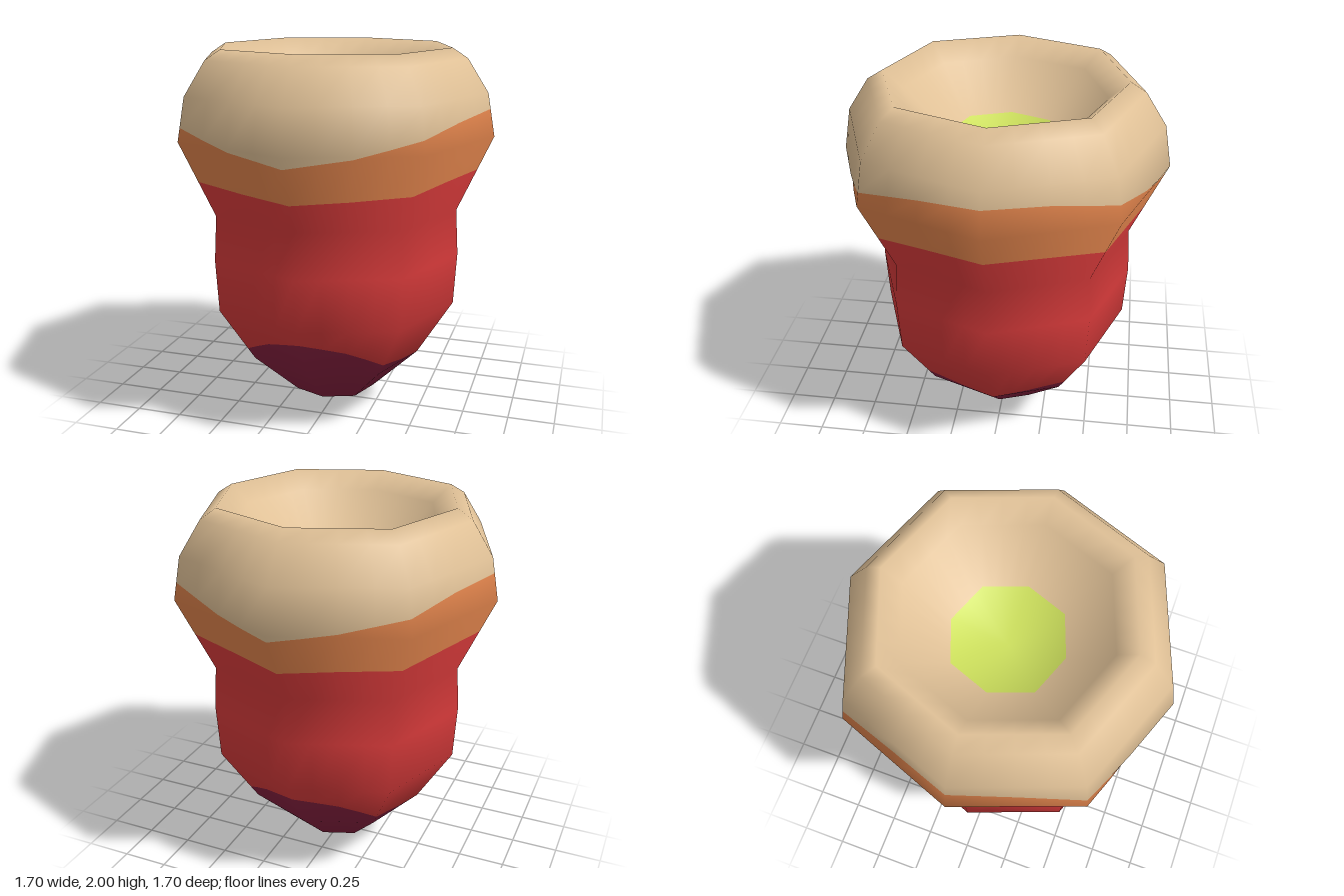
import * as THREE from 'three';

// Half-section [radius, height]: from the bottom tip, up the outside, over the rim, down into the bowl
const PROFILE = [
  [0, 0], [0.23, 0.09], [0.48, 0.33], [0.67, 0.64], [0.685, 0.92], [0.67, 1.16], [0.85, 1.56],
  [0.81, 1.78], [0.70, 1.95], [0.62, 2.0], [0.52, 1.91], [0.295, 1.68], [0, 1.6],
];
const RIM = 9, BOWL = 11, END = PROFILE.length - 1;
const SIDES = 8, SUB = 4, COLUMNS = SIDES * SUB;

// Heights of the wavy colour borders, from front to back in steps of 22.5 degrees
const PURPLE_TOP = [0.555, 0.49, 0.395, 0.35, 0.33, 0.35, 0.395, 0.49, 0.55];
const RED_TOP = [1.31, 1.325, 1.35, 1.37, 1.385, 1.375, 1.365, 1.35, 1.33];
const ORANGE_TOP = [1.5, 1.545, 1.63, 1.67, 1.7, 1.685, 1.65, 1.575, 1.525];

// Smooth profile normals, averaged from the neighbouring segments
const NORMALS = PROFILE.map((p, i) => {
  if (i === 0) return new THREE.Vector2(0, -1);
  if (i === END) return new THREE.Vector2(0, 1);
  const n = new THREE.Vector2();
  for (const [a, b] of [[PROFILE[i - 1], p], [p, PROFILE[i + 1]]]) {
    n.add(new THREE.Vector2(b[1] - a[1], a[0] - b[0]).normalize());
  }
  return n.normalize();
});

// Profile parameter at a given height on the outside
function paramAt(y) {
  let k = 0;
  while (k < RIM - 1 && PROFILE[k + 1][1] < y) k++;
  return k + (y - PROFILE[k][1]) / (PROFILE[k + 1][1] - PROFILE[k][1]);
}

// Border function of the column, mirrored left to right
function border(heights) {
  return (column) => {
    const c = column % COLUMNS;
    const f = Math.min(c, COLUMNS - c) * 16 / COLUMNS;
    const i = Math.min(Math.floor(f), heights.length - 2);
    return paramAt(THREE.MathUtils.lerp(heights[i], heights[i + 1], f - i));
  };
}

// Point and normal on the eight-sided body
function surface(column, t) {
  const k = Math.min(Math.floor(t), END - 1), f = t - k;
  const r = THREE.MathUtils.lerp(PROFILE[k][0], PROFILE[k + 1][0], f);
  const y = THREE.MathUtils.lerp(PROFILE[k][1], PROFILE[k + 1][1], f);
  const n = NORMALS[k].clone().lerp(NORMALS[k + 1], f);
  const side = Math.floor(column / SUB), g = column / SUB - side;
  const corner = (s) => {
    const a = s * 2 * Math.PI / SIDES;
    return new THREE.Vector3(Math.sin(a), 0, Math.cos(a));
  };
  const wide = (s) => (s % 2 ? 1.03 : 1);
  const out = corner(side).multiplyScalar(wide(side))
    .lerp(corner(side + 1).multiplyScalar(wide(side + 1)), g);
  const dir = corner(side).lerp(corner(side + 1), g);
  return {
    p: [out.x * r, y, out.z * r],
    n: new THREE.Vector3(dir.x * n.x, n.y, dir.z * n.x).normalize().toArray(),
  };
}

// Skin of the body between two borders
function band(name, from, to, material) {
  const positions = [], normals = [];
  const addTriangle = (...corners) => {
    const [a, b, c] = corners.map((v) => new THREE.Vector3(...v.p));
    if (b.sub(a).cross(c.sub(a)).length() < 1e-9) return;
    for (const v of corners) {
      positions.push(...v.p);
      normals.push(...v.n);
    }
  };
  for (let i = 0; i < COLUMNS; i++) {
    const at = (col, level) =>
      surface(col, THREE.MathUtils.clamp(level, from(col), to(col)));
    for (let k = 0; k < END; k++) {
      const a = at(i, k), b = at(i + 1, k), c = at(i + 1, k + 1), d = at(i, k + 1);
      addTriangle(a, b, c);
      addTriangle(a, c, d);
    }
  }
  const geometry = new THREE.BufferGeometry();
  geometry.setAttribute('position', new THREE.Float32BufferAttribute(positions, 3));
  geometry.setAttribute('normal', new THREE.Float32BufferAttribute(normals, 3));
  const mesh = new THREE.Mesh(geometry, material);
  mesh.name = name;
  return mesh;
}

function paint(name, color) {
  const material = new THREE.MeshStandardMaterial({ color });
  material.name = name;
  return material;
}

export function createModel() {
  const group = new THREE.Group();
  group.name = 'acornCup';
  const purpleTop = border(PURPLE_TOP);
  const redTop = border(RED_TOP);
  const orangeTop = border(ORANGE_TOP);
  group.add(
    band('tip', () => 0, purpleTop, paint('purple', 0x86203f)),
    band('body', purpleTop, redTop, paint('red', 0xd63a3a)),
    band('collar', redTop, orangeTop, paint('orange', 0xde824b)),
    band('rim', orangeTop, () => BOWL, paint('tan', 0xdfc096)),
    band('bowlFloor', () => BOWL, () => END, paint('lime', 0xcde05c)),
  );
  return group;
}
